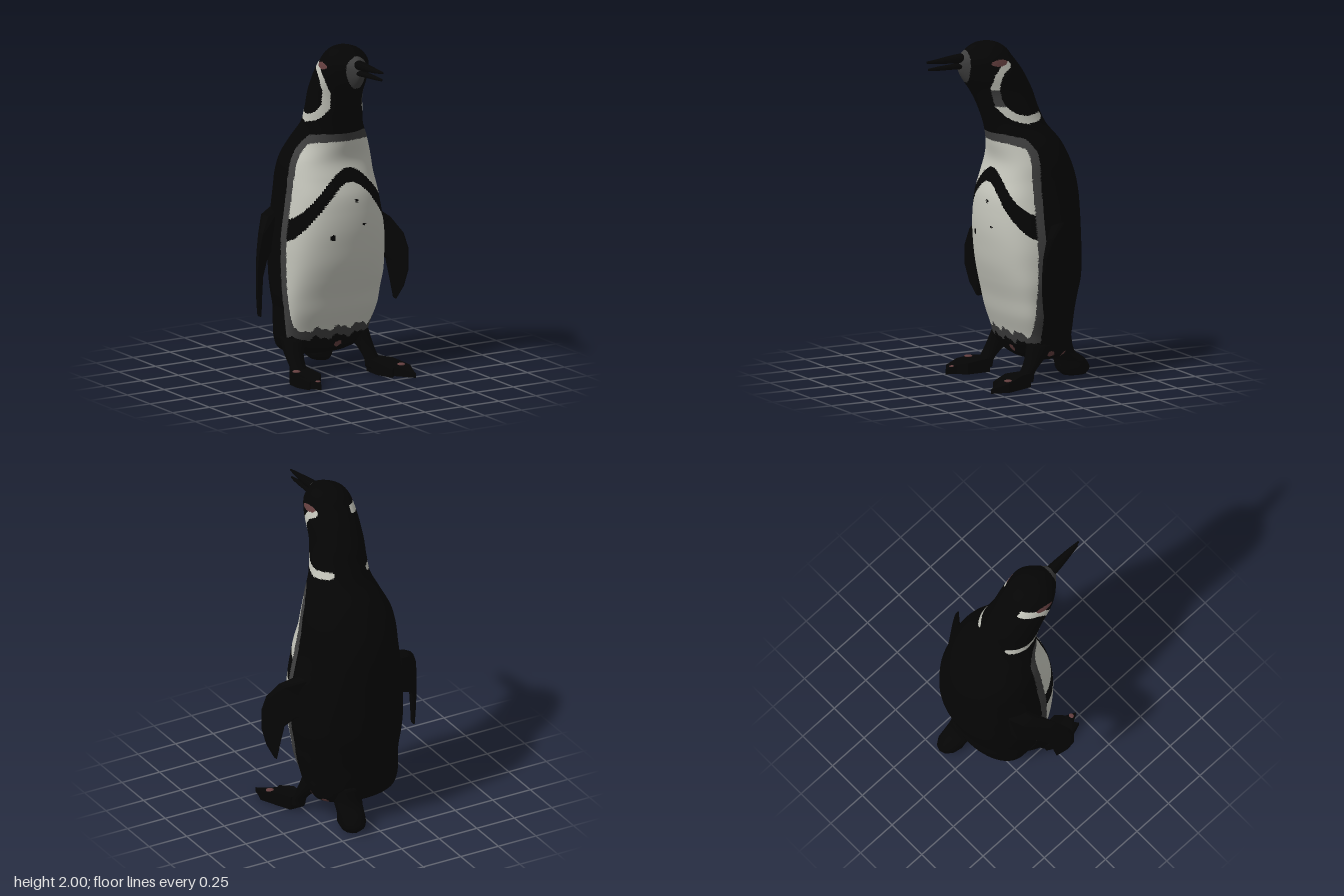
import * as THREE from 'three';

const mat = (name, color, side = THREE.FrontSide) => {
  const m = new THREE.MeshStandardMaterial({ color, side });
  m.name = name;
  return m;
};

// Lofts oval rings stacked along y, smoothed between the given rows.
// Row: [y, xMin, xMax, zBack, zFront, pinch]; pinch narrows the front of the oval, below zero squares it.
// paint(x, y, z) returns a material index.
function loft(rows, segs, steps, paint = () => 0) {
  const channels = [0, 1, 2, 3, 4, 5].map(
    (c) => new THREE.SplineCurve(rows.map((r) => new THREE.Vector2(r[c] ?? 0, 0))));
  const pos = [];
  for (let i = 0; i <= steps; i++) {
    const [y, x0, x1, z0, z1, pinch] = channels.map((c) => c.getPoint(i / steps).x);
    for (let j = 0; j < segs; j++) {
      const a = (j / segs) * Math.PI * 2;
      const width = ((x1 - x0) / 2) * (1 - pinch * Math.max(0, Math.cos(a)) ** 2);
      pos.push((x0 + x1) / 2 + width * Math.sin(a), y, (z0 + z1) / 2 + ((z1 - z0) / 2) * Math.cos(a));
    }
  }
  for (const r of [rows[0], rows[rows.length - 1]]) pos.push((r[1] + r[2]) / 2, r[0], (r[3] + r[4]) / 2);
  const buckets = [];
  const tri = (...v) => {
    const mid = [0, 1, 2].map((k) => (pos[v[0] * 3 + k] + pos[v[1] * 3 + k] + pos[v[2] * 3 + k]) / 3);
    const m = paint(...mid);
    (buckets[m] ||= []).push(...v);
  };
  const base = (steps + 1) * segs;
  for (let j = 0; j < segs; j++) {
    const k = (j + 1) % segs;
    for (let i = 0; i < steps; i++) {
      const a = i * segs + j, b = i * segs + k;
      tri(a, b, a + segs);
      tri(b, b + segs, a + segs);
    }
    tri(base, k, j);
    tri(base + 1, steps * segs + j, steps * segs + k);
  }
  const geo = new THREE.BufferGeometry();
  geo.setAttribute('position', new THREE.Float32BufferAttribute(pos, 3));
  const index = [];
  buckets.forEach((list, m) => {
    geo.addGroup(index.length, list.length, m);
    for (const v of list) index.push(v);
  });
  geo.setIndex(index);
  geo.computeVertexNormals();
  return geo;
}

// Distance from (z, y) to a polyline
function lineDistance(points, z, y) {
  let best = Infinity;
  for (let i = 0; i + 1 < points.length; i++) {
    const [az, ay] = points[i], [bz, by] = points[i + 1];
    const dz = bz - az, dy = by - ay;
    const t = THREE.MathUtils.clamp(((z - az) * dz + (y - ay) * dy) / (dz * dz + dy * dy), 0, 1);
    best = Math.min(best, Math.hypot(z - az - t * dz, y - ay - t * dy));
  }
  return best;
}

const BLACK = 0, WHITE = 1, GREY = 2, RED = 3;
const cheekStripe = [[0.03, 1.872], [0.07, 1.85], [0.1, 1.81], [0.112, 1.74], [0.085, 1.64],
  [0.04, 1.59], [0, 1.567], [-0.07, 1.548], [-0.165, 1.558]];
const browStripe = [[-0.045, 1.885], [0.03, 1.872]];
const bareSpots = [[0.26, 0.18, -0.18], [0.23, 0.165, -0.27], [0.05, 0.185, -0.04]];
const bellySpots = [[-0.085, 0.865, 0.017], [0.07, 1.07, 0.011], [0.12, 0.925, 0.009]];

// Plumage markings of the body
function plumage(x, y, z) {
  if (y > 1.5) {
    if (z > 0.238 && y > 1.77 && y < 1.96) return GREY;
    if (Math.hypot((z - 0.085) / 0.055, (y - 1.89) / 0.019) < 1) return RED;
    if (lineDistance(cheekStripe, z, y) < 0.022) return x > 0 && y > 1.63 && y < 1.73 ? GREY : WHITE;
    if (x < -0.06 && lineDistance(browStripe, z, y) < 0.024) return WHITE;
    return BLACK;
  }
  if (bareSpots.some(([a, b, c]) => Math.hypot(x - a, y - b, z - c) < 0.024)) return RED;
  const corner = 4 * Math.max(0, y - 1.32) ** 2;
  const drop = 2 * Math.max(0, Math.abs(x - 0.02) - 0.1) ** 2;
  const ragged = 0.012 * Math.sin(x * 45) + 0.008 * Math.sin(x * 97);
  if (y > 1.47 - drop || y < 0.24 + ragged || z < -0.1 + corner) return BLACK;
  if (y > 1.42 - drop || y < 0.295 + ragged || z < -0.05 + corner) return GREY;
  if (z > 0 && bellySpots.some(([a, b, r]) => Math.hypot(x - a, y - b) < r)) return BLACK;
  const fall = 1.4 * (Math.hypot(x - 0.04, 0.12) - 0.12);
  return Math.abs(y - (1.22 - fall)) < 0.041 + 0.05 * fall ? BLACK : WHITE;
}

export function createModel() {
  const model = new THREE.Group();
  const black = mat('blackFeather', 0x050505, THREE.DoubleSide);
  const white = mat('whiteFeather', 0xc4c5bb);
  const grey = mat('greyEdge', 0x3e3e3e);
  const red = mat('bareSkin', 0x643f3f);
  const add = (name, geo, material = black) => {
    const mesh = new THREE.Mesh(geo, material);
    mesh.name = name;
    model.add(mesh);
    return mesh;
  };

  // Body, neck and head in one skin
  const bodyRows = [
    [0.13, -0.18, 0.2, -0.3, -0.1], [0.16, -0.24, 0.26, -0.36, -0.06, -0.2],
    [0.22, -0.265, 0.29, -0.385, -0.025, -0.5], [0.3, -0.27, 0.305, -0.4, 0, -0.6],
    [0.4, -0.275, 0.325, -0.41, 0.035, -0.65], [0.5, -0.29, 0.34, -0.43, 0.06, -0.6],
    [0.6, -0.3, 0.36, -0.45, 0.09, -0.5], [0.7, -0.305, 0.365, -0.455, 0.115, -0.4],
    [0.8, -0.305, 0.365, -0.455, 0.13, -0.35], [0.9, -0.3, 0.355, -0.455, 0.14, -0.3],
    [1.0, -0.285, 0.335, -0.455, 0.14, -0.3], [1.1, -0.27, 0.315, -0.45, 0.13, -0.3],
    [1.2, -0.26, 0.3, -0.43, 0.1, -0.25], [1.3, -0.24, 0.29, -0.39, 0.075, -0.2],
    [1.4, -0.195, 0.26, -0.335, 0.09], [1.5, -0.155, 0.205, -0.255, 0.11],
    [1.6, -0.15, 0.18, -0.21, 0.145, 0.1], [1.7, -0.15, 0.16, -0.18, 0.195, 0.3],
    [1.8, -0.15, 0.155, -0.13, 0.265, 0.55], [1.86, -0.145, 0.148, -0.09, 0.29, 0.65],
    [1.91, -0.135, 0.138, -0.05, 0.287, 0.65], [1.95, -0.11, 0.115, -0.02, 0.25, 0.5],
    [1.98, -0.075, 0.08, 0.02, 0.2, 0.3], [1.995, -0.035, 0.04, 0.06, 0.155], [2.0, -0.005, 0.01, 0.1, 0.115]];
  add('body', loft(bodyRows, 160, 320, plumage), [black, white, grey, red]);

  // Open beak, lofted along its length and turned forward
  const beak = (name, rows) => add(name, loft(rows, 16, 12).rotateX(Math.PI / 2));
  beak('upperBeak', [[0.22, -0.03, 0.034, -1.94, -1.88], [0.3, -0.027, 0.034, -1.938, -1.885],
    [0.42, -0.005, 0.032, -1.925, -1.895], [0.5, 0.015, 0.025, -1.918, -1.905]]);
  beak('lowerBeak', [[0.22, -0.025, 0.03, -1.89, -1.84], [0.3, -0.02, 0.03, -1.885, -1.85],
    [0.42, 0, 0.03, -1.88, -1.855], [0.49, 0.015, 0.025, -1.875, -1.86]]);

  // Tail flaring backward near the ground
  add('tail', loft([[0.015, 0.09, 0.19, -0.47, -0.33], [0.05, 0.055, 0.205, -0.5, -0.29],
    [0.1, 0.05, 0.2, -0.475, -0.28], [0.16, 0.03, 0.2, -0.4, -0.25], [0.26, 0.0, 0.2, -0.385, -0.22]], 12, 12));

  // Flippers: curved blades swept forward and outward, thick at the root
  const blade = [[0.25, 0.98], [0.33, 0.955], [0.42, 0.88], [0.475, 0.79], [0.495, 0.7], [0.495, 0.58],
    [0.475, 0.48], [0.45, 0.41], [0.44, 0.52], [0.425, 0.63], [0.38, 0.7], [0.31, 0.74], [0.25, 0.76]];
  for (const [name, s, forward] of [['leftFlipper', 1, -0.01], ['rightFlipper', -1, -0.04]]) {
    const shape = new THREE.Shape(blade.map(([x, y]) => new THREE.Vector2(s * x, y)));
    const geo = new THREE.ExtrudeGeometry(shape, {
      depth: 0.02, bevelThickness: 0.015, bevelSize: 0.008, bevelSegments: 2 }).translate(0, 0, -0.01);
    const p = geo.attributes.position;
    for (let i = 0; i < p.count; i++) {
      const out = Math.max(Math.abs(p.getX(i)) - 0.5, -0.2);
      p.setZ(i, p.getZ(i) * (0.6 - 7 * out) + forward + out * 1.1);
    }
    geo.computeVertexNormals();
    add(name, geo);
  }

  // Legs
  add('leftLeg', loft([[0.03, 0.22, 0.32, -0.06, 0.06], [0.08, 0.22, 0.31, -0.07, 0.02],
    [0.15, 0.2, 0.3, -0.14, -0.02], [0.25, 0.15, 0.295, -0.25, -0.05]], 14, 9));
  add('rightLeg', loft([[0.03, -0.29, -0.18, -0.06, 0.06], [0.08, -0.28, -0.18, -0.07, 0.02],
    [0.15, -0.28, -0.17, -0.14, -0.02], [0.25, -0.27, -0.12, -0.25, -0.05]], 14, 9));

  // Webbed feet: flat outlines that rise toward the ankle
  const topOf = (z) => 0.03 + 0.055 * THREE.MathUtils.clamp((0.26 - z) / 0.18, 0, 1);
  const foot = (name, outline) => {
    const shape = new THREE.Shape(outline.map(([x, z]) => new THREE.Vector2(x, -z)));
    const geo = new THREE.ExtrudeGeometry(shape, { depth: 1, bevelEnabled: false }).rotateX(-Math.PI / 2);
    const p = geo.attributes.position;
    for (let i = 0; i < p.count; i++) p.setY(i, p.getY(i) > 0.5 ? topOf(p.getZ(i)) : 0.004);
    geo.computeVertexNormals();
    add(name, geo);
  };
  foot('leftFoot', [[0.23, -0.02], [0.23, 0.1], [0.27, 0.2], [0.3, 0.17], [0.335, 0.21], [0.385, 0.275],
    [0.395, 0.22], [0.41, 0.17], [0.36, 0.06], [0.32, -0.02]]);
  foot('rightFoot', [[-0.28, -0.04], [-0.32, 0.03], [-0.325, 0.12], [-0.295, 0.205], [-0.27, 0.18], [-0.235, 0.24],
    [-0.215, 0.18], [-0.17, 0.13], [-0.18, -0.02]]);

  // Bare skin patches on the feet
  for (const [x, z, r] of [[0.36, 0.15, 0.024], [-0.295, 0.06, 0.024], [-0.235, 0.2, 0.016]]) {
    add('footPatch', new THREE.SphereGeometry(r, 12, 8).scale(1, 0.3, 1), red).position.set(x, topOf(z), z);
  }
  return model;
}
